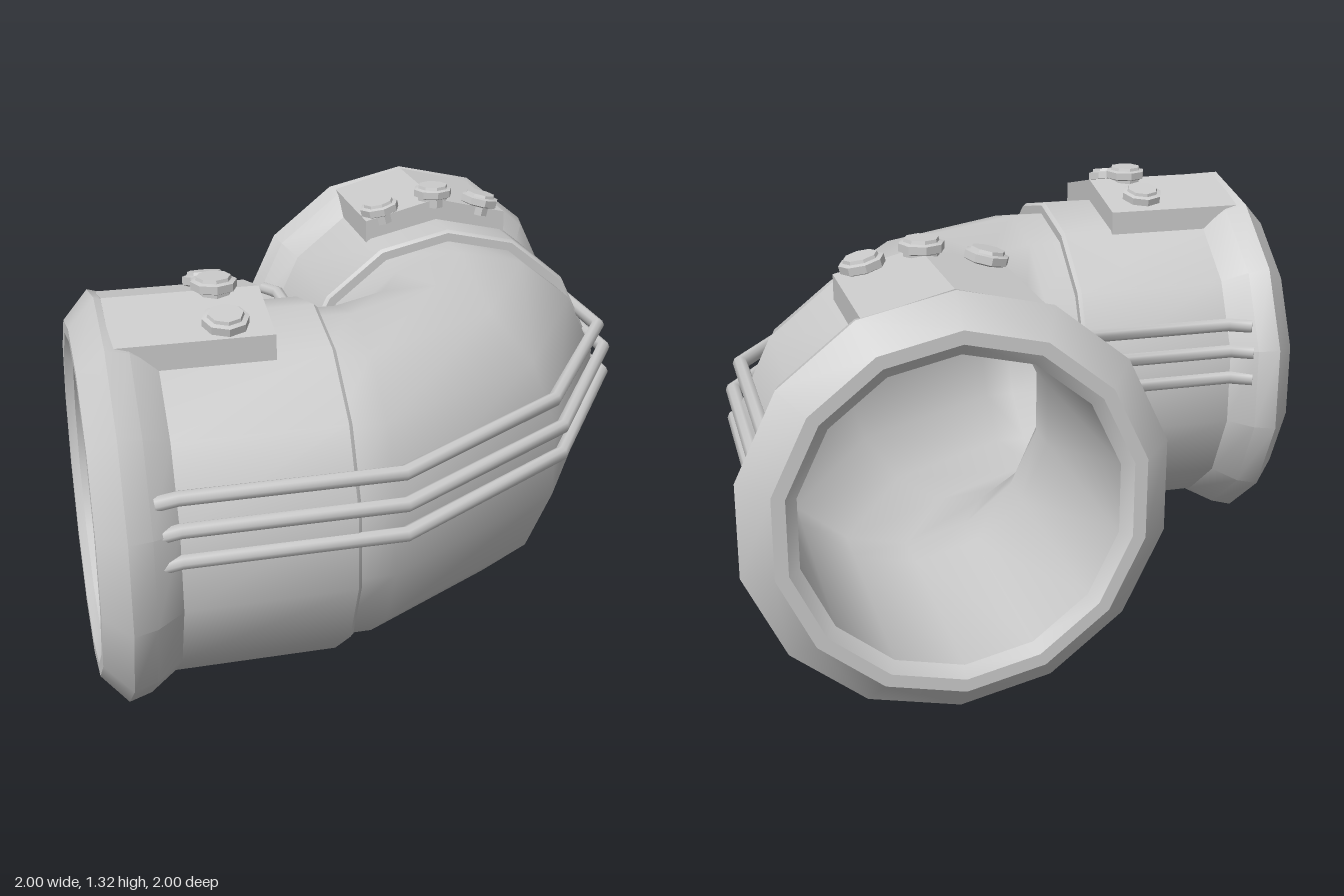
import * as THREE from 'three';
import { toCreasedNormals } from 'three/addons/utils/BufferGeometryUtils.js';

const SIDES = 14, AXIS = 0.375, CY = 0.645;
const mat = new THREE.MeshStandardMaterial({ color: 0xcccccc });

function add(parent, name, geo) {
  const mesh = new THREE.Mesh(geo, mat);
  mesh.name = name;
  parent.add(mesh);
  return mesh;
}

// Elliptical ring: half-width vector (dx, dz) on the ground plane, height rv
function ring(x, y, z, dx, dz, rv, n) {
  return Array.from({ length: n }, (_, k) => {
    const a = k / n * Math.PI * 2;
    return [x + dx * Math.sin(a), y + rv * Math.cos(a), z + dz * Math.sin(a)];
  });
}

// Skin through a list of rings
function loft(rings, inward = false) {
  const n = rings[0].length, index = [];
  for (let j = 0; j < rings.length - 1; j++) {
    for (let k = 0; k < n; k++) {
      const a = j * n + k, b = j * n + (k + 1) % n, c = a + n, d = b + n;
      if (inward) index.push(a, c, b, b, c, d);
      else index.push(a, b, c, b, d, c);
    }
  }
  const geo = new THREE.BufferGeometry();
  geo.setAttribute('position', new THREE.Float32BufferAttribute(rings.flat(2), 3));
  geo.setIndex(index);
  geo.computeVertexNormals();
  return geo;
}

// Bent pipe wall: straight, one mitred ring on the diagonal, straight
function elbow(r, mid, start, end, inward) {
  const m = 0.185, h = mid * Math.SQRT1_2;
  return loft([
    ring(start, CY, AXIS, 0, r, r, SIDES),
    ring(-0.14, CY, AXIS, 0, r, r, SIDES),
    ring(m, CY, m, h, h, r, SIDES),
    ring(AXIS, CY, -0.14, r, 0, r, SIDES),
    ring(AXIS, CY, end, r, 0, r, SIDES),
  ], inward);
}

// Round rod along an [x, z] polyline with mitred corners and closed ends
function rod(path, y, r) {
  const dir = (a, b) => new THREE.Vector2(b[0] - a[0], b[1] - a[1]).normalize();
  const rings = path.map((p, i) => {
    const t0 = dir(path[Math.max(i - 1, 0)], path[Math.max(i, 1)]);
    const t1 = i < path.length - 1 ? dir(p, path[i + 1]) : t0;
    const t = t0.clone().add(t1).normalize();
    const s = r / t.dot(t0);
    return ring(p[0], y, p[1], -t.y * s, t.x * s, r, 8);
  });
  const cap = (p) => ring(p[0], y, p[1], 0, 0, 0, 8);
  return loft([cap(path[0]), ...rings, cap(path[path.length - 1])]);
}

const mirrored = (half) => half.map(([x, z]) => [z, x]).reverse();

// Sleeve, flange, plate and bolts; the opening faces local -z
function socket(sleeveEnd, boltZ, boltX) {
  const g = new THREE.Group();
  const profile = [
    [0.5, sleeveEnd], [0.553, sleeveEnd], [0.563, sleeveEnd + 0.012], [0.563, 0.77],
    [0.62, 0.85], [0.64, 0.92], [0.55, 1], [0.51, 1], [0.475, 0.975], [0.47, sleeveEnd],
  ].map(([r, d]) => new THREE.Vector2(r, d));
  const collar = new THREE.LatheGeometry(profile, SIDES);
  collar.rotateX(-Math.PI / 2);
  add(g, 'flangedSleeve', toCreasedNormals(collar, 0.5));

  // Gabled plate following the two top facets
  const shape = new THREE.Shape([
    [-0.26, 0.495], [0.26, 0.495], [0.26, 0.573], [0, 0.637], [-0.26, 0.573],
  ].map(([x, y]) => new THREE.Vector2(x, y)));
  const plate = new THREE.ExtrudeGeometry(shape, { depth: 0.47, bevelEnabled: false });
  plate.translate(0, 0, -0.9);
  add(g, 'topPlate', plate);

  // Bolts tilt with the facet they sit on
  for (const x of boltX) {
    const bolt = new THREE.Group();
    bolt.name = 'bolt';
    bolt.position.set(x, 0.635 - Math.abs(x) * 0.235, boltZ);
    bolt.rotation.z = -Math.sign(x) * 0.225;
    const head = new THREE.LatheGeometry([
      [0.055, -0.03], [0.055, 0.0], [0.07, 0.006], [0.07, 0.03], [0.055, 0.034],
      [0.052, 0.044], [0, 0.044],
    ].map(([r, y]) => new THREE.Vector2(r, y)), 8);
    add(bolt, 'boltHead', toCreasedNormals(head, 0.3));
    g.add(bolt);
  }
  return g;
}

export function createModel() {
  const model = new THREE.Group();

  // Elbow between the two sockets
  add(model, 'elbowOuter', elbow(0.523, 0.455, -0.3, -0.33, false));
  add(model, 'elbowBore', elbow(0.47, 0.41, -0.25, -0.28, true));

  // Side socket opens to -x, rear socket opens to -z
  const side = socket(0.25, -0.565, [-0.195, 0, 0.175]);
  side.name = 'sideSocket';
  side.position.set(0, CY, AXIS);
  side.rotation.y = Math.PI / 2;
  const rear = socket(0.28, -0.475, [-0.195, 0, 0.175]);
  rear.name = 'rearSocket';
  rear.position.set(AXIS, CY, 0);
  model.add(side, rear);

  // Three rods around the outside and three around the inside of the bend
  for (const [y, o, m] of [[0.68, 0.547, 0.515], [0.775, 0.547, 0.515], [0.862, 0.52, 0.492]]) {
    const outer = [[-0.84, AXIS + o + 0.02], [-0.77, AXIS + o], [-0.12, AXIS + o]];
    add(model, 'outerRod', rod([...outer, [m, m], ...mirrored(outer)], y, 0.023));
    const inner = [[-0.84, AXIS - o - 0.04], [-0.77, AXIS - o]];
    add(model, 'innerRod', rod([...inner, [AXIS - o, AXIS - o], ...mirrored(inner)], y, 0.023));
  }
  return model;
}
